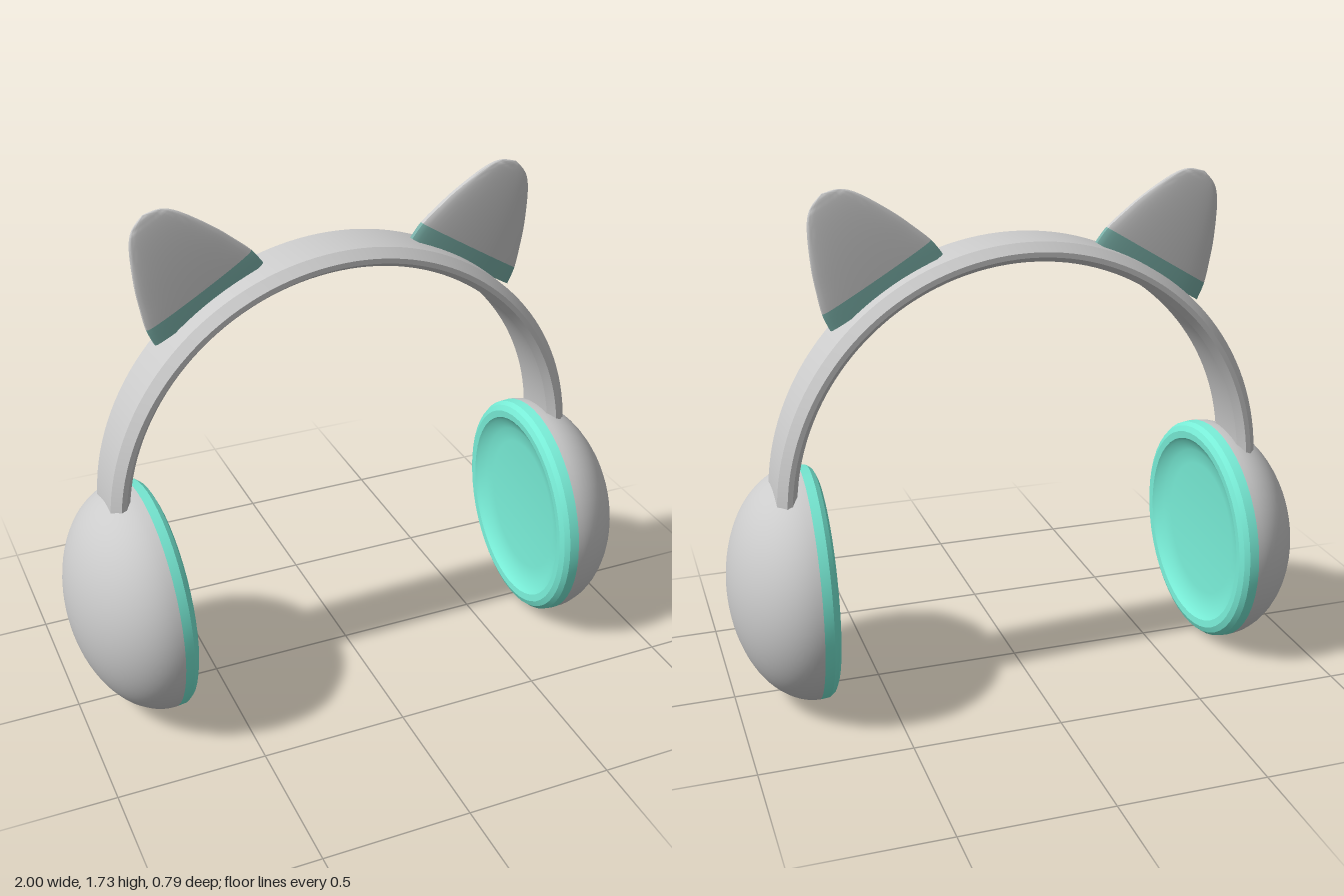
import * as THREE from 'three';
import { toCreasedNormals } from 'three/addons/utils/BufferGeometryUtils.js';

const grey = new THREE.MeshStandardMaterial({ color: 0xcccccc });
const teal = new THREE.MeshStandardMaterial({ color: 0x78ecd6 });
const dullTeal = new THREE.MeshStandardMaterial({ color: 0x7ab0a8 });

function add(parent, name, geometry, material) {
  const mesh = new THREE.Mesh(geometry, material);
  mesh.name = name;
  parent.add(mesh);
  return mesh;
}

const points = (list) => list.map(([x, y]) => new THREE.Vector2(x, y));

// Revolved profile with edges kept sharp above the crease angle
const lathe = (list, segments, crease, start = 0, length = Math.PI * 2) =>
  toCreasedNormals(new THREE.LatheGeometry(points(list), segments, start, length), crease);

// Half width of the ear at a height above its base
const earOutline = new THREE.SplineCurve(points([
  [0.216, 0], [0.208, 0.06], [0.184, 0.13], [0.153, 0.207], [0.098, 0.312], [0.055, 0.359], [0, 0.378],
]));

// Ear slice between two curve parameters, lofted from flat lens sections
function earGeometry(from, to) {
  const rows = 20, cols = 40, pos = [], index = [];
  for (let i = 0; i <= rows; i++) {
    const p = earOutline.getPoint(from + (to - from) * i / rows);
    const t = 0.026 * Math.sqrt(Math.max(0, 1 - (p.y / 0.379) ** 2));
    for (let j = 0; j < cols; j++) {
      const a = j / cols * Math.PI * 2, s = Math.sin(a);
      pos.push(p.x * Math.cos(a), p.y, t * Math.sign(s) * Math.abs(s) ** 0.6);
      if (i < rows) {
        const k = i * cols + j, n = i * cols + (j + 1) % cols;
        index.push(k, k + cols, n, n, k + cols, n + cols);
      }
    }
  }
  // Cap under the slice
  const centre = pos.length / 3;
  pos.push(0, earOutline.getPoint(from).y, 0);
  for (let j = 0; j < cols; j++) index.push(centre, j, (j + 1) % cols);
  const geometry = new THREE.BufferGeometry();
  geometry.setAttribute('position', new THREE.Float32BufferAttribute(pos, 3));
  geometry.setIndex(index);
  return toCreasedNormals(geometry, 0.7);
}

export function createModel() {
  const model = new THREE.Group();
  model.name = 'headphones';

  // Headband: chamfered strip swept over a half circle
  const section = [
    [0.775, -0.085], [0.795, -0.117], [0.812, -0.117], [0.84, -0.085],
    [0.84, 0.085], [0.812, 0.117], [0.795, 0.117], [0.775, 0.085], [0.775, -0.085],
  ];
  const band = add(model, 'headband',
    lathe(section, 72, 0.5, Math.PI / 2 - 0.03, Math.PI + 0.06).rotateX(Math.PI / 2), grey);
  band.position.set(0, 0.7, -0.052);

  // Ear cup profiles, with the axis pointing away from the head
  const shell = [];
  for (let i = 0; i <= 20; i++) {
    const a = i / 20 * Math.PI / 2;
    shell.push([0.395 * Math.cos(a), 0.265 * Math.sin(a)]);
  }
  const cushion = [
    [0, -0.022], [0.24, -0.022], [0.29, -0.028], [0.325, -0.046], [0.335, -0.055],
    [0.36, -0.057], [0.38, -0.048], [0.392, -0.032], [0.395, 0],
  ];

  for (const [side, s] of [['left', 1], ['right', -1]]) {
    const cup = new THREE.Group();
    cup.name = side + 'EarCup';
    add(cup, 'shell', lathe(shell, 48, 0.6).rotateZ(-Math.PI / 2), grey);
    add(cup, 'cushion', lathe(cushion, 48, 0.45).rotateZ(-Math.PI / 2), teal);
    cup.position.set(s * 0.735, 0.4, 0);
    cup.rotation.y = s > 0 ? -0.04 : Math.PI + 0.04;
    model.add(cup);

    // Pointed ear standing on the band, with a coloured strip at its base
    const split = 0.06 / 0.378;
    let t = 0;
    while (earOutline.getPoint(t).y < split * 0.378) t += 0.002;
    const ear = new THREE.Group();
    ear.name = side + 'PointedEar';
    add(ear, 'earBase', earGeometry(0, t), dullTeal);
    add(ear, 'earTip', earGeometry(t, 1), grey);
    ear.position.set(s * 0.444, 1.394, -0.062);
    ear.rotation.z = -s * 0.541;
    model.add(ear);
  }
  return model;
}
